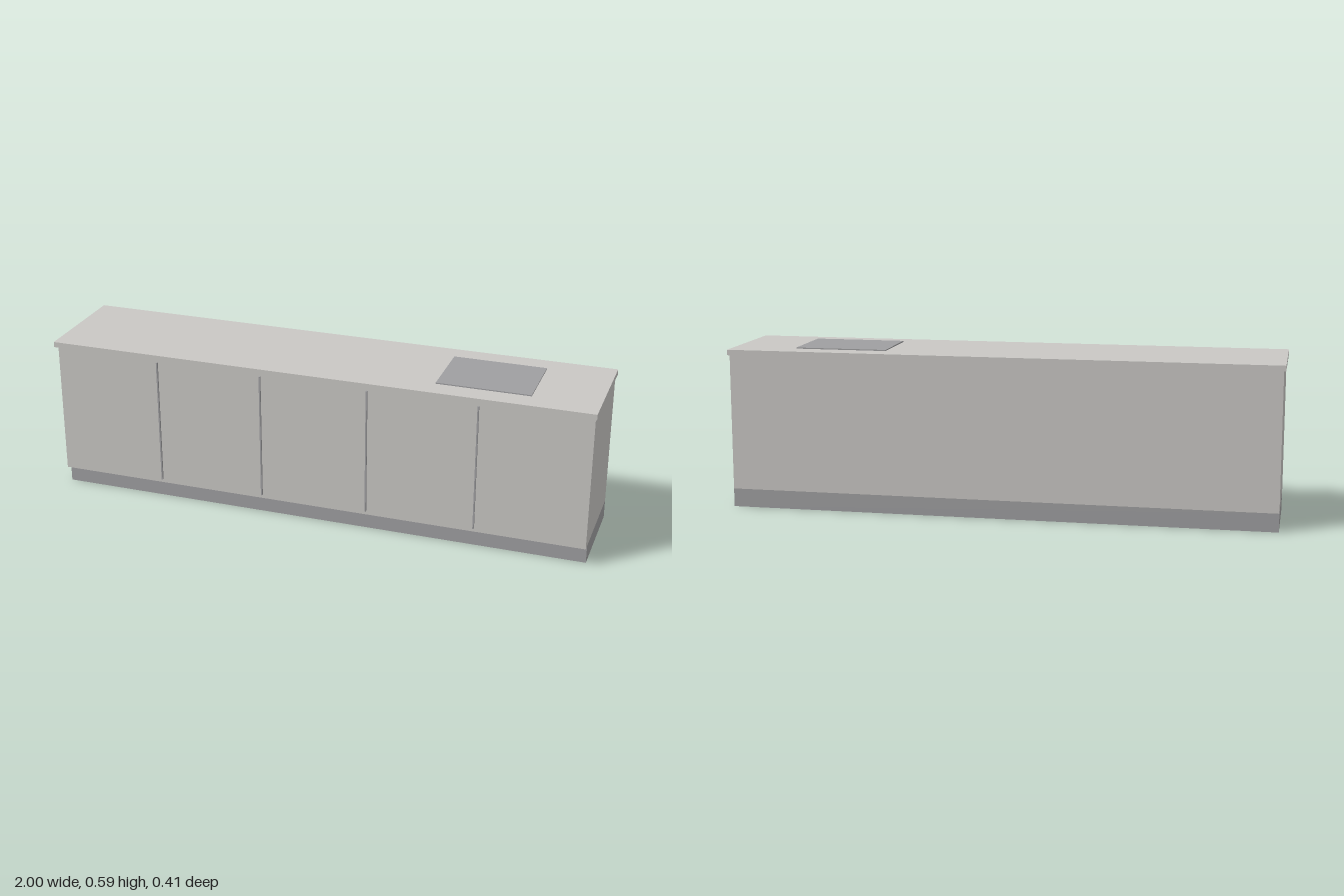
import * as THREE from 'three';

export function createModel() {
  const group = new THREE.Group();
  const lightGrey = new THREE.MeshStandardMaterial({ name: 'light grey', color: 0xc9c7c4 });
  const midGrey = new THREE.MeshStandardMaterial({ name: 'mid grey', color: 0x9f9fa1 });

  // Box given by its minimum and maximum corners
  function box(name, material, [x0, y0, z0], [x1, y1, z1]) {
    const mesh = new THREE.Mesh(new THREE.BoxGeometry(x1 - x0, y1 - y0, z1 - z0), material);
    mesh.position.set((x0 + x1) / 2, (y0 + y1) / 2, (z0 + z1) / 2);
    mesh.name = name;
    group.add(mesh);
  }

  // Recessed base, cabinet body and overhanging counter
  box('plinth', midGrey, [-0.993, 0, -0.199], [0.993, 0.067, 0.159]);
  box('cabinet', lightGrey, [-0.993, 0.067, -0.199], [0.993, 0.564, 0.186]);
  box('worktop', lightGrey, [-1, 0.564, -0.205], [1, 0.584, 0.205]);

  // Slim strips dividing the front into five doors
  const doorWidth = 0.397;
  for (let i = 0; i < 4; i++) {
    const x = (i - 1.5) * doorWidth;
    box('doorStrip' + (i + 1), midGrey, [x - 0.0025, 0.081, 0.186], [x + 0.0025, 0.55, 0.193]);
  }

  // Flat cooking plate on the counter
  box('hob', midGrey, [0.427, 0.584, -0.126], [0.763, 0.588, 0.126]);

  return group;
}
